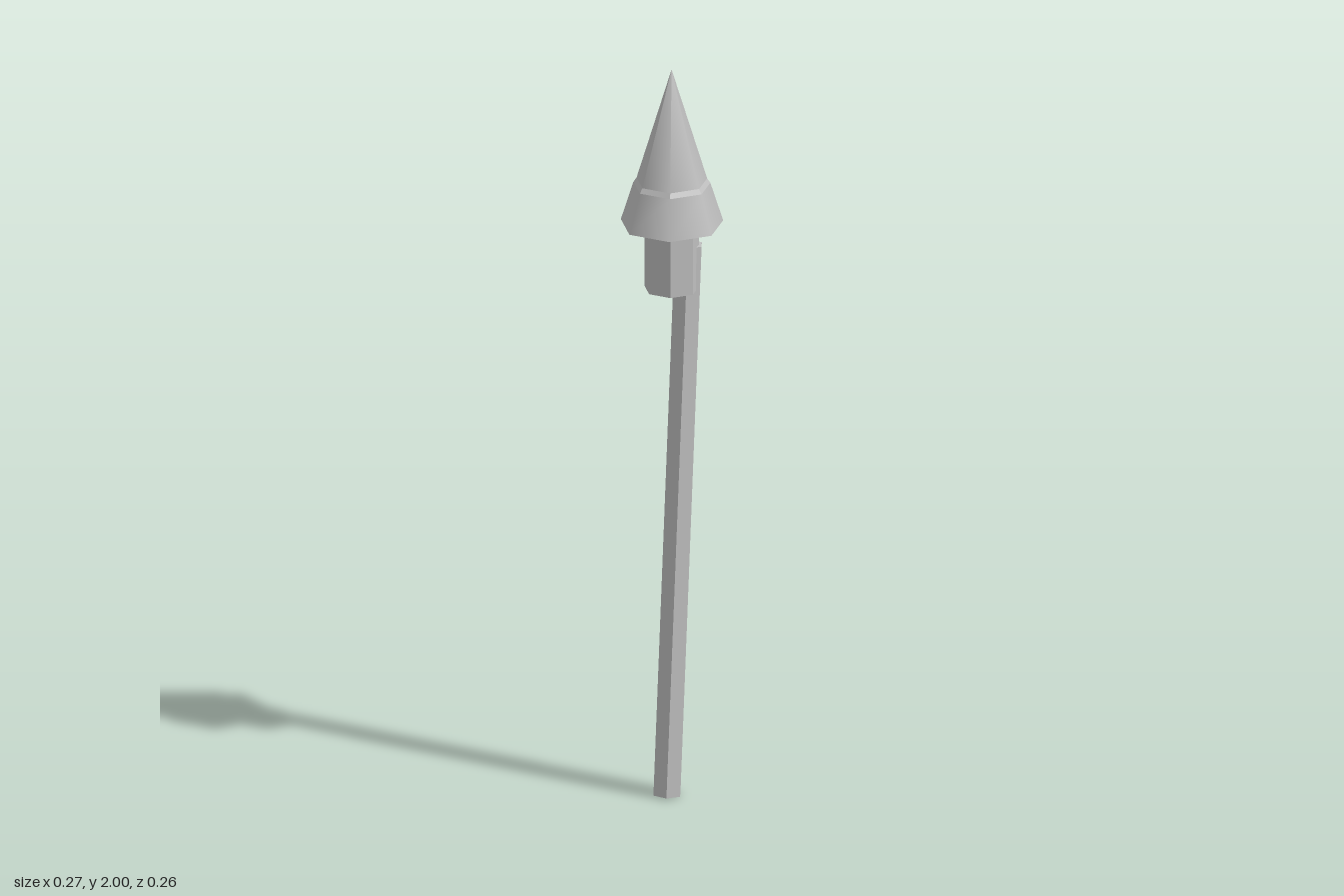
import * as THREE from 'three';

export function createModel() {
  const model = new THREE.Group();
  model.name = 'fireworkRocket';

  const grey = new THREE.MeshStandardMaterial({ color: 0xbfbfbf });
  grey.name = 'grey';

  const add = (name, geometry) => {
    const mesh = new THREE.Mesh(geometry, grey);
    mesh.name = name;
    model.add(mesh);
    return mesh;
  };
  // Flat-sided version of a geometry
  const faceted = (geometry) => {
    const flat = geometry.toNonIndexed();
    flat.computeVertexNormals();
    return flat;
  };
  // Seven-sided section with a corner at the front
  const section = (name, rTop, rBottom, y0, y1, flat, open) => {
    const g = new THREE.CylinderGeometry(rTop, rBottom, y1 - y0, 7, 1, open);
    const mesh = add(name, flat ? faceted(g) : g);
    mesh.position.set(0, (y0 + y1) / 2, -0.008);
  };

  // Nose: flared skirt, narrow ledge and pointed tip
  section('noseSkirt', 0.103, 0.137, 1.57, 1.677, false, false);
  section('noseLedge', 0.0945, 0.103, 1.677, 1.69, true, true);
  section('noseTip', 0, 0.0945, 1.69, 2.0, false, true);

  // Powder tube
  section('tube', 0.073, 0.073, 1.39, 1.575, true, false);

  // Six-sided guide stick, leaning into the side of the tube
  const foot = new THREE.Vector3(-0.01, 0.0025, 0.049);
  const head = new THREE.Vector3(0.043, 1.508, -0.025);
  const axis = head.clone().sub(foot);
  const stick = add('stick', faceted(new THREE.CylinderGeometry(0.04, 0.04, axis.length(), 6)));
  stick.position.copy(foot).add(head).multiplyScalar(0.5);
  stick.quaternion.setFromUnitVectors(new THREE.Vector3(0, 1, 0), axis.normalize());

  return model;
}
